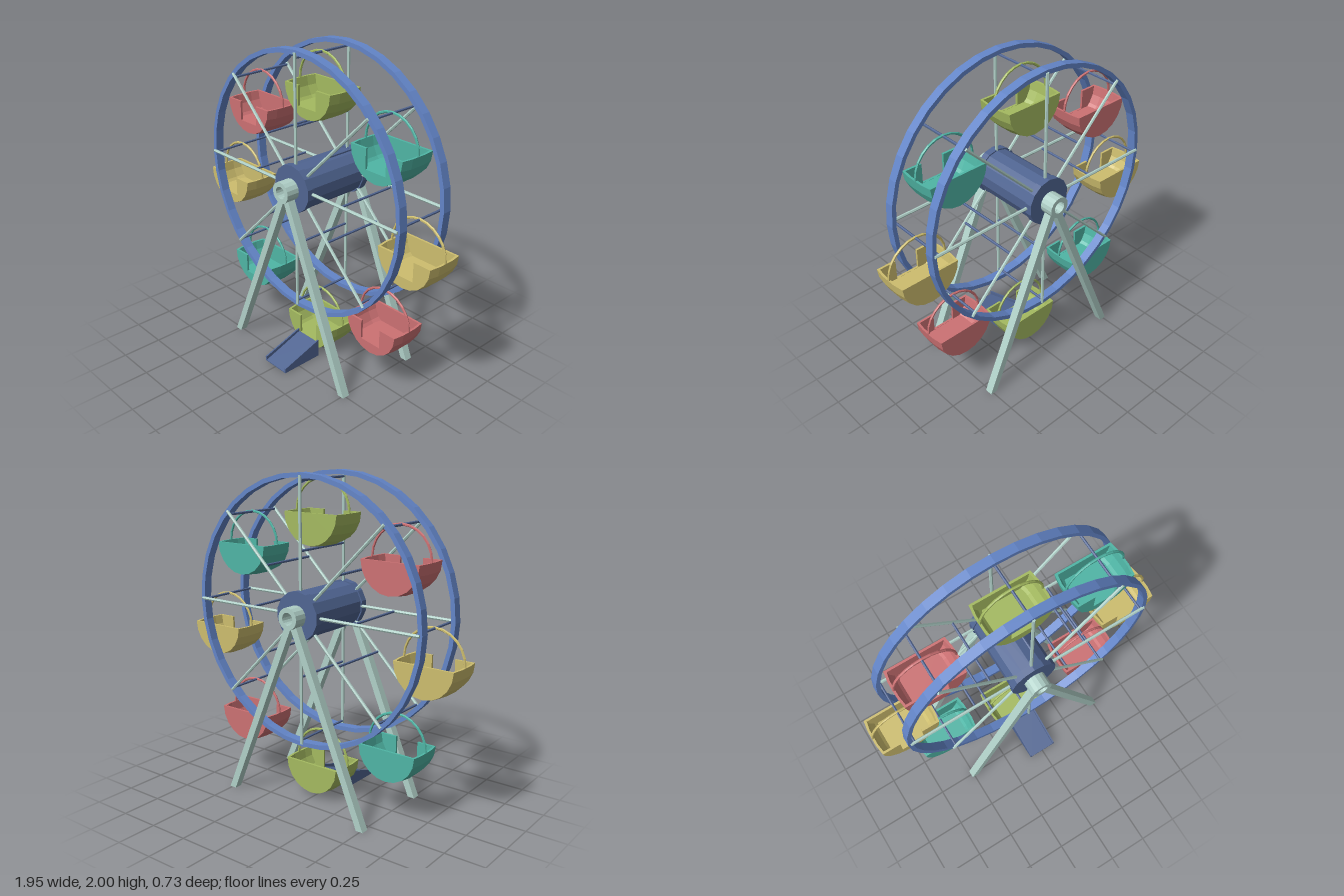
import * as THREE from 'three';

const HUB_Y = 1.185, MID_Z = -0.035;
const mat = (name, color, side = THREE.FrontSide) => {
  const m = new THREE.MeshStandardMaterial({ color, flatShading: true, side });
  m.name = name;
  return m;
};

export function createModel() {
  const rimBlue = mat('rim blue', 0x6385c8);
  const navy = mat('hub navy', 0x506592);
  const mint = mat('mint steel', 0xb0d0c8);
  const olive = mat('olive', 0xa4ba60);
  const teal = mat('teal', 0x4fb5a5);
  const yellow = mat('yellow', 0xcdbd6e);
  const red = mat('red', 0xcc7173);

  const model = new THREE.Group();
  model.name = 'ferrisWheel';
  const add = (parent, name, geo, material, x = 0, y = 0, z = 0) => {
    const m = new THREE.Mesh(geo, material);
    m.name = name;
    m.position.set(x, y, z);
    parent.add(m);
    return m;
  };
  // Revolved profile of [radius, z] pairs around the z axis
  const turned = (pts, segs, start = 0, len = Math.PI * 2) =>
    new THREE.LatheGeometry(pts.map(p => new THREE.Vector2(...p)), segs, start, len).rotateX(Math.PI / 2);
  const ring = (ri, ro, h, segs) =>
    turned([[ri, -h], [ro, -h], [ro, h], [ri, h], [ri, -h]], segs);
  const polygon = pts => new THREE.Shape(pts.map(p => new THREE.Vector2(...p)));

  // Turning wheel
  const wheel = new THREE.Group();
  wheel.name = 'wheel';
  wheel.position.set(0, HUB_Y, MID_Z);
  model.add(wheel);
  add(wheel, 'hub', ring(0.055, 0.14, 0.24, 14), navy);
  add(wheel, 'axle', ring(0.038, 0.066, 0.33, 16), mint);
  for (const s of [1, -1]) {
    add(wheel, 'rim', ring(0.788, 0.815, 0.028, 36), rimBlue, 0, 0, s * 0.178);
    add(wheel, 'hubFlange', ring(0.055, 0.148, 0.022, 14), navy, 0, 0, s * 0.223);
  }
  const spokeGeo = new THREE.CylinderGeometry(0.01, 0.01, 0.68, 6).translate(0, 0.46, 0);
  const barGeo = new THREE.CylinderGeometry(0.008, 0.008, 0.41, 6).rotateX(Math.PI / 2);
  for (let i = 0; i < 8; i++) {
    const a = i * Math.PI / 4;
    for (const s of [1, -1])
      add(wheel, 'spoke', spokeGeo, mint, 0, 0, s * 0.208).rotation.z = -a;
    for (const r of [0.375, 0.772])
      add(wheel, 'crossbar', barGeo, navy, r * Math.sin(a), r * Math.cos(a), 0);
  }

  // Gondola parts: half-round tub, notched front wall, floor and arched handle
  const H = 0.12, T = 0.014;
  const tubGeo = turned([[0, -H], [0.19, -H], [0.2, -0.05], [0.2, 0.05], [0.19, H],
    [0.176, H], [0.186, 0.05], [0.186, -0.05], [0.176, T - H], [0, T - H]], 10, -Math.PI / 2, Math.PI);
  const lipGeo = new THREE.ShapeGeometry(polygon([
    [-0.19, H], [-0.2, 0.05], [-0.2, -0.05], [-0.19, -H], [-0.176, -H], [-0.186, -0.05], [-0.186, 0.05],
    [-0.176, H - T], [0.176, H - T], [0.186, 0.05], [0.186, -0.05], [0.176, -H], [0.19, -H],
    [0.2, -0.05], [0.2, 0.05], [0.19, H]])).rotateX(-Math.PI / 2);
  const wallPts = [];
  for (let i = 0; i <= 10; i++) {
    const a = Math.PI * (1 + i / 10);
    wallPts.push([0.188 * Math.cos(a), 0.188 * Math.sin(a)]);
  }
  wallPts.push([0.074, 0], [0.074, -0.122], [-0.074, -0.122], [-0.074, 0]);
  const wallGeo = new THREE.ExtrudeGeometry(polygon(wallPts), { depth: T, bevelEnabled: false });
  const floorGeo = new THREE.BoxGeometry(0.265, 0.01, 2 * H - 0.01);
  const archGeo = new THREE.TorusGeometry(0.193, 0.008, 6, 12, Math.PI);

  const paints = [olive, teal, yellow, red];
  for (let i = 0; i < 8; i++) {
    const a = i * Math.PI / 4, paint = paints[i % 4];
    const g = new THREE.Group();
    g.name = 'gondola';
    g.position.set(0.772 * Math.sin(a), 0.772 * Math.cos(a) - 0.19, 0);
    add(g, 'tub', tubGeo, paint);
    add(g, 'tubLip', lipGeo, paint);
    add(g, 'frontWall', wallGeo, paint, 0, 0, H - T);
    add(g, 'floor', floorGeo, paint, 0, -0.128, 0);
    add(g, 'archHandle', archGeo, paint);
    wheel.add(g);
  }

  // Slanted support legs
  for (const s of [1, -1]) {
    for (const z of [0.222, -0.338]) {
      const pts = [[0.472, 0], [0.518, 0], [0.035, 1.15], [-0.012, 1.15]].map(([x, y]) => [s * x, y]);
      const geo = new THREE.ExtrudeGeometry(polygon(pts), { depth: 0.05, bevelEnabled: false });
      add(model, 'supportLeg', geo, mint, 0, 0, z);
    }
  }

  // Boarding ramp: side profile swept across x
  const across = (pts, width) => new THREE.ExtrudeGeometry(polygon(pts), { depth: width, bevelEnabled: false })
    .translate(0, 0, -width / 2).rotateY(-Math.PI / 2);
  add(model, 'ramp', across([[0.365, 0], [0.365, 0.006], [0.085, 0.1], [0.085, 0]], 0.18), navy);
  for (const s of [1, -1])
    add(model, 'rampRail', across([[0.365, 0], [0.365, 0.03], [0.085, 0.118], [0.085, 0]], 0.01), navy, s * 0.091);

  return model;
}
